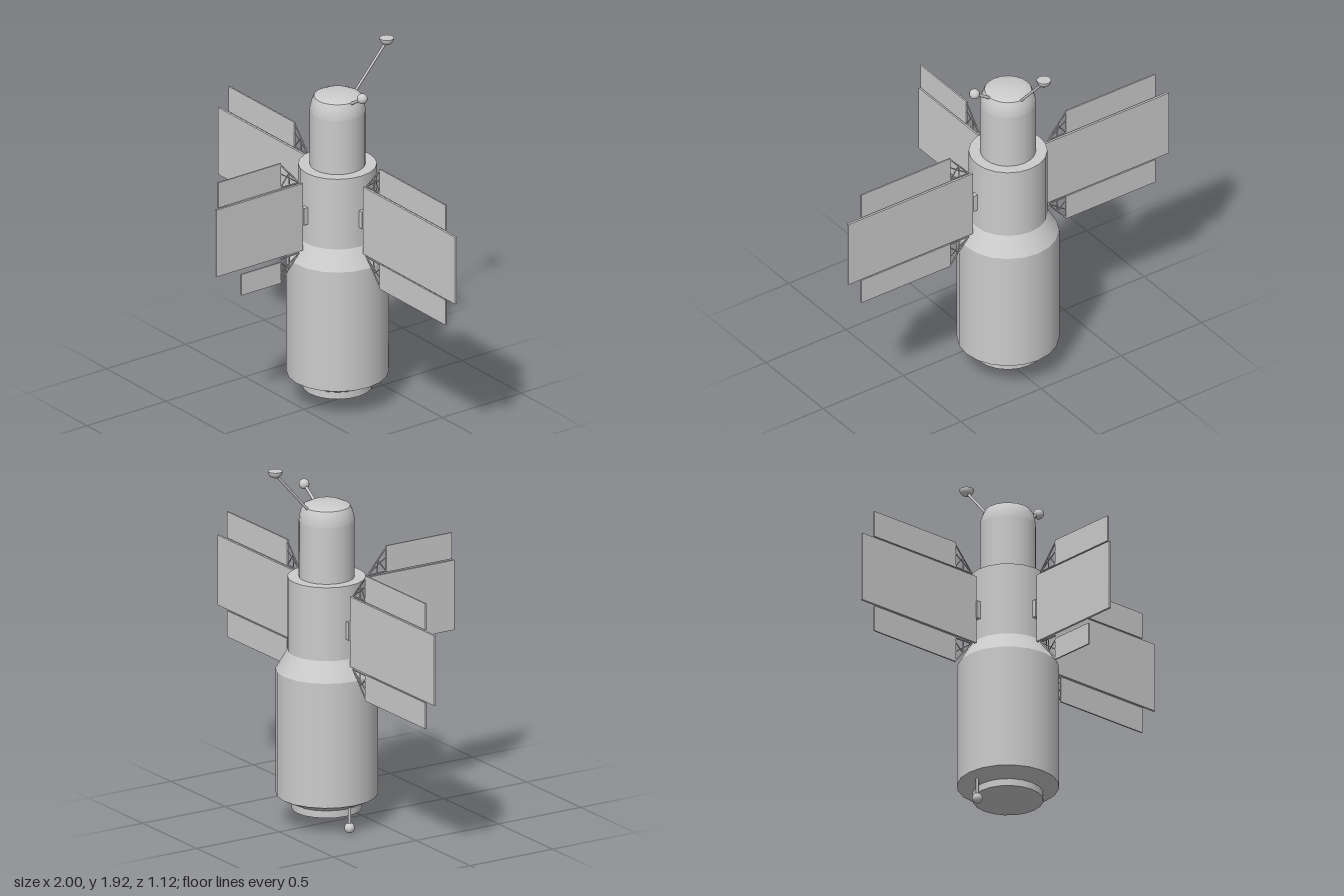
import * as THREE from 'three';

const grey = new THREE.MeshStandardMaterial({ color: 0xcccccc });
const SIDES = 20;
const V = (x, y, z = 0) => new THREE.Vector3(x, y, z);

function add(parent, name, geometry, x = 0, y = 0, z = 0) {
  const mesh = new THREE.Mesh(geometry, grey);
  mesh.name = name;
  mesh.position.set(x, y, z);
  parent.add(mesh);
  return mesh;
}

// Surface of revolution, smooth along its own profile [radius, height]
function turned(parent, name, profile) {
  return add(parent, name, new THREE.LatheGeometry(profile.map(([r, y]) => new THREE.Vector2(r, y)), SIDES));
}

// Thin round bar between two points
function rod(parent, name, a, b, radius, sides = 8) {
  const dir = b.clone().sub(a);
  const mesh = add(parent, name, new THREE.CylinderGeometry(radius, radius, dir.length(), sides));
  mesh.position.copy(a).add(b).multiplyScalar(0.5);
  mesh.quaternion.setFromUnitVectors(V(0, 1, 0), dir.normalize());
  return mesh;
}

// Flat panel given by its outline in the x-y plane
function panel(parent, name, x0, x1, y0, y1, depth = 0.008) {
  add(parent, name, new THREE.BoxGeometry(x1 - x0, y1 - y0, depth), (x0 + x1) / 2, (y0 + y1) / 2, 0);
}

// Triangular truss holding a small panel; s = +1 above, -1 below
function truss(parent, s, edge) {
  const y = (d) => 1.075 + s * d;
  const root = V(0.245, y(0.195));
  const tip = V(0.36, y(0.325));
  const foot = V(0.36, y(0.198));
  const mid = root.clone().lerp(tip, 0.55);
  const g = new THREE.Group();
  g.name = s > 0 ? 'upperTruss' : 'lowerTruss';
  rod(g, 'outerStrut', root, tip, 0.004, 6);
  rod(g, 'innerStrut', root, V(0.36, y(0.275)), 0.003, 6);
  rod(g, 'baseStrut', root, foot, 0.004, 6);
  rod(g, 'crossBrace', mid, V(0.305, y(0.198)), 0.003, 6);
  rod(g, 'edgeBrace', mid, V(0.36, y(edge)), 0.003, 6);
  parent.add(g);
}

// Solar wing reaching out along +x
function wing(name, mainEnd, upperEnd, lowerEnd, lowerTop) {
  const g = new THREE.Group();
  g.name = name;
  add(g, 'hinge', new THREE.BoxGeometry(0.034, 0.094, 0.026), 0.206, 1.077, 0);
  panel(g, 'mainPanel', 0.222, mainEnd, 0.89, 1.262, 0.012);
  panel(g, 'upperPanel', 0.36, upperEnd, 1.27, 1.41);
  panel(g, 'lowerPanel', 0.36, lowerEnd, 0.743, lowerTop);
  truss(g, 1, 0.2);
  truss(g, -1, 0.22);
  return g;
}

export function createModel() {
  const model = new THREE.Group();
  model.name = 'spaceStation';
  const station = new THREE.Group();
  station.name = 'station';
  station.position.z = -0.212;
  model.add(station);

  // Hull, split wherever the edge is sharp
  const hull = new THREE.Group();
  hull.name = 'hull';
  station.add(hull);
  turned(hull, 'dockingPlate', [[0, 0.08], [0.18, 0.08]]);
  turned(hull, 'dockingRing', [[0.18, 0.08], [0.18, 0.12]]);
  turned(hull, 'baseCone', [[0.18, 0.118], [0.26, 0.158]]);
  turned(hull, 'lowerHull', [[0.26, 0.158], [0.26, 0.82]]);
  turned(hull, 'shoulder', [[0.26, 0.82], [0.2, 0.922]]);
  turned(hull, 'middleHull', [[0.2, 0.922], [0.2, 1.312]]);
  turned(hull, 'middleDeck', [[0.2, 1.312], [0.142, 1.312]]);
  turned(hull, 'upperHull', [[0.142, 1.31], [0.142, 1.61]]);
  turned(hull, 'roundedShoulder', [[0.142, 1.61], [0.14, 1.635], [0.132, 1.665], [0.12, 1.69]]);
  turned(hull, 'topCap', [[0.12, 1.69], [0.08, 1.708], [0, 1.71]]);

  // Side wings and the shorter front wing
  const left = wing('leftWing', 1, 0.915, 0.915, 0.882);
  const right = wing('rightWing', 1, 0.915, 0.915, 0.882);
  right.rotation.y = Math.PI;
  const front = wing('frontWing', 0.772, 0.757, 0.612, 0.86);
  front.rotation.y = -Math.PI / 2;
  station.add(left, right, front);

  // Dish on a boom leaning back
  const dish = new THREE.Group();
  dish.name = 'dishAntenna';
  rod(dish, 'dishBoom', V(0, 1.68, -0.11), V(0, 1.9, -0.305), 0.007);
  const bowl = [[0, 1.888], [0.018, 1.892], [0.03, 1.902], [0.036, 1.914], [0.037, 1.925]];
  turned(dish, 'dishBowl', bowl).position.z = -0.312;
  turned(dish, 'dishFace', [[0.037, 1.925], [0, 1.925]]).position.z = -0.312;
  station.add(dish);

  // Ball-tipped antennas
  for (const [name, base, tip] of [
    ['upperAntenna', V(0.11, 1.68), V(0.209, 1.746)],
    ['lowerAntenna', V(-0.21, 0.16), V(-0.21, 0.027)],
  ]) {
    const g = new THREE.Group();
    g.name = name;
    rod(g, 'mast', base, tip, 0.008);
    add(g, 'ball', new THREE.SphereGeometry(0.027, 16, 12), tip.x, tip.y, tip.z);
    station.add(g);
  }
  return model;
}
